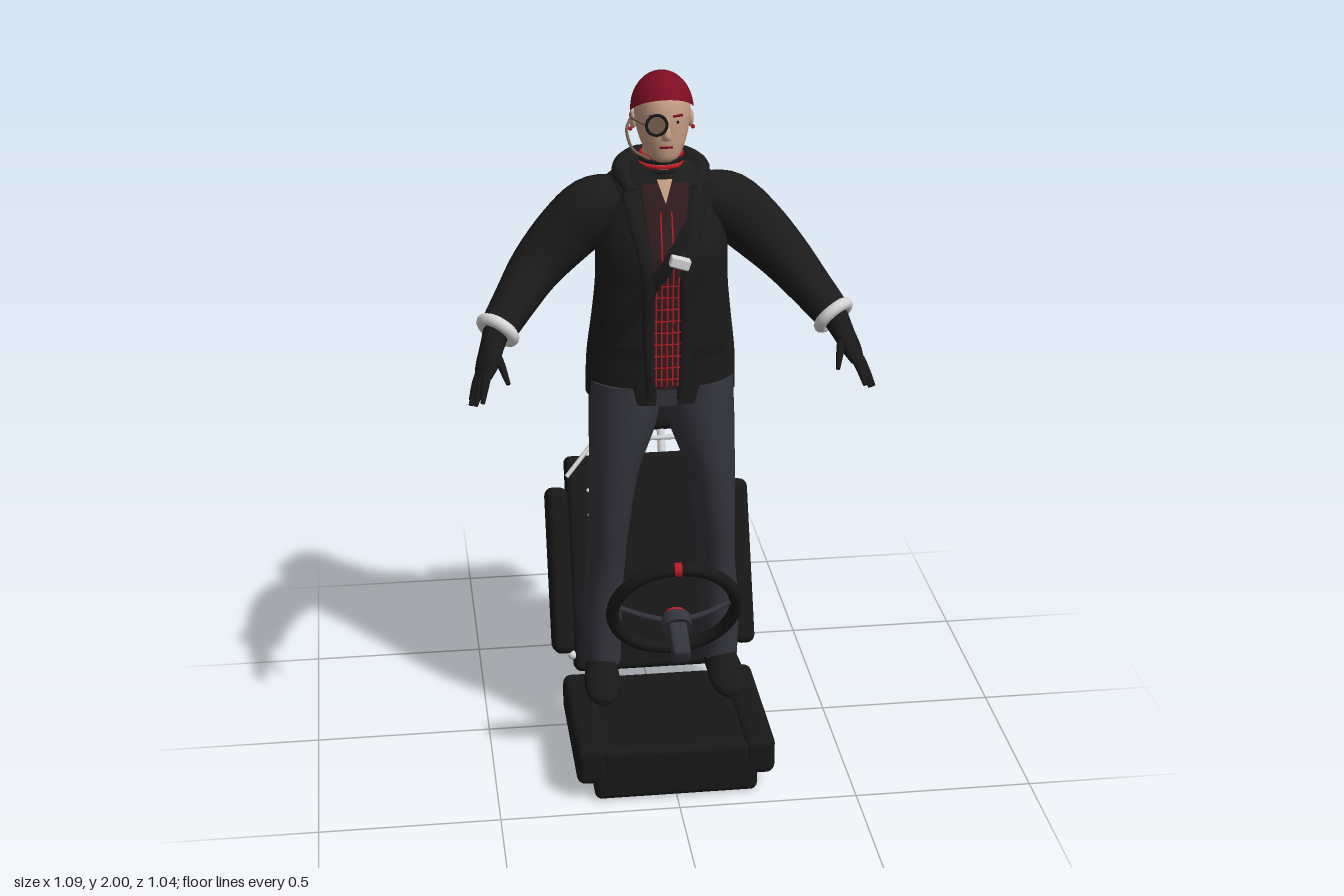
import * as THREE from 'three';
import { RoundedBoxGeometry } from 'three/addons/geometries/RoundedBoxGeometry.js';

const mat = (name, color) => { const m = new THREE.MeshStandardMaterial({ color }); m.name = name; return m; };
const V = (x, y, z) => new THREE.Vector3(x, y, z);

export function createModel() {
  const M = {
    coat: mat('coat black', 0x1b1b1b), leather: mat('leather black', 0x181818), cloth: mat('trouser grey', 0x33333c),
    skin: mat('skin', 0xc89f86), hair: mat('dark red hair', 0x7d0d24), red: mat('bright red', 0xb81a22),
    white: mat('white', 0xd6d6d6), shirt: mat('dark maroon', 0x301c1e), brass: mat('dull brass', 0x75604f),
  };
  const model = new THREE.Group();
  const add = (name, geo, m, pos = [0, 0, 0], rot = [0, 0, 0], parent = model) => {
    const mesh = new THREE.Mesh(geo, m);
    mesh.name = name; mesh.position.set(...pos); mesh.rotation.set(...rot);
    parent.add(mesh);
    return mesh;
  };
  const group = (name, pos, rx) => {
    const g = new THREE.Group();
    g.name = name; g.position.set(...pos); g.rotation.x = rx;
    model.add(g);
    return g;
  };
  const rbox = (w, h, d, r = 0.02) => new RoundedBoxGeometry(w, h, d, 3, r);
  const ball = (r) => new THREE.SphereGeometry(r, 16, 12);
  const tube = (pts, r, n = 24) => new THREE.TubeGeometry(new THREE.CatmullRomCurve3(pts.map(p => V(...p))), n, r, 8);

  // Smooth a list of cross-sections [x, y, z, radiusA, radiusB]
  const smooth = (rows, k = 4) => {
    const c = new THREE.CatmullRomCurve3(rows.map(r => V(r[0], r[1], r[2])), false, 'catmullrom');
    const q = new THREE.CatmullRomCurve3(rows.map(r => V(r[3], r[4], 0)), false, 'catmullrom');
    const n = (rows.length - 1) * k;
    return Array.from({ length: n + 1 }, (_, i) => {
      const p = c.getPoint(i / n), r = q.getPoint(i / n);
      return [p.x, p.y, p.z, r.x, r.y];
    });
  };
  // Loft through the sections: level rings, or rings across the path when ref is given
  const limb = (rows, ref = null, n = 24) => {
    const S = smooth(rows), pos = [], idx = [];
    const centre = S.map(r => V(r[0], r[1], r[2]));
    const ring = (i) => {
      const T = ref ? centre[Math.min(i + 1, S.length - 1)].clone().sub(centre[Math.max(i - 1, 0)]).normalize() : V(0, 1, 0);
      const a = ref ? ref.clone() : V(1, 0, 0);
      a.addScaledVector(T, -a.dot(T)).normalize();
      const b = a.clone().cross(T);
      for (let j = 0; j < n; j++) {
        const t = j / n * Math.PI * 2;
        const p = centre[i].clone().addScaledVector(a, Math.cos(t) * S[i][3]).addScaledVector(b, Math.sin(t) * S[i][4]);
        pos.push(p.x, p.y, p.z);
      }
    };
    S.forEach((_, i) => ring(i));
    for (let i = 0; i < S.length - 1; i++) for (let j = 0; j < n; j++) {
      const p = i * n + j, q = i * n + (j + 1) % n;
      idx.push(p, p + n, q, p + n, q + n, q);
    }
    for (const [i, top] of [[0, false], [S.length - 1, true]]) {
      const base = pos.length / 3;
      ring(i);
      pos.push(...centre[i].toArray());
      for (let j = 0; j < n; j++) {
        const p = base + j, q = base + (j + 1) % n;
        idx.push(base + n, top ? q : p, top ? p : q);
      }
    }
    const g = new THREE.BufferGeometry();
    g.setAttribute('position', new THREE.Float32BufferAttribute(pos, 3));
    g.setIndex(idx);
    g.computeVertexNormals();
    return g;
  };

  // Seat base
  add('seatBase', rbox(0.46, 0.11, 0.5), M.leather, [0, 0.055, 0.19]);
  add('seatCushion', rbox(0.42, 0.08, 0.45), M.leather, [0, 0.115, 0.215]);
  for (const s of [-1, 1]) add('seatBolster', rbox(0.09, 0.115, 0.46, 0.025), M.leather, [s * 0.235, 0.107, 0.21]);

  // Reclined backrest with headrest, bent rail and studs
  const back = group('backrest', [0, 0.41, -0.24], -0.408);
  add('backPanel', rbox(0.47, 0.64, 0.1), M.leather, [0, 0, 0], [0, 0, 0], back);
  add('headrest', rbox(0.28, 0.19, 0.09, 0.03), M.leather, [0, 0.483, -0.009], [0, 0, 0], back);
  for (const s of [-1, 1]) {
    add('backBolster', rbox(0.065, 0.49, 0.125, 0.025), M.leather, [s * 0.268, -0.015, 0.046], [0, 0, 0], back);
    add('headrestPost', new THREE.CylinderGeometry(0.012, 0.012, 0.12, 10), M.white, [s * 0.06, 0.36, 0], [0, 0, 0], back);
    add('hinge', ball(0.014), M.white, [s * 0.24, -0.27, 0.03], [0, 0, 0], back);
    for (let i = 0; i < 7; i++) add('stud', ball(0.006), M.white, [s * 0.172, -0.224 + i * 0.0735, 0.052], [0, 0, 0], back);
  }
  const rail = new THREE.CurvePath();
  const bends = [[-0.235, 0.26, 0.055], [-0.145, 0.363, 0.043], [0.145, 0.363, 0.043], [0.235, 0.26, 0.055]].map(p => V(...p));
  for (let i = 0; i < 3; i++) rail.add(new THREE.LineCurve3(bends[i], bends[i + 1]));
  add('backRail', new THREE.TubeGeometry(rail, 36, 0.007, 8), M.white, [0, 0, 0], [0, 0, 0], back);

  // Steering wheel
  const wheel = group('steeringWheel', [0, 0.555, 0.37], 0.433);
  add('wheelRim', new THREE.TorusGeometry(0.171, 0.018, 12, 48), M.leather, [0, 0, 0], [0, 0, 0], wheel);
  for (const [x, y] of [[-0.165, 0.025], [0.165, 0.025], [0, -0.165]])
    add('wheelSpoke', tube([[0, 0, 0.045], [x * 0.5, y * 0.5, 0.03], [x, y, 0]], 0.008), M.cloth, [0, 0, 0], [0, 0, 0], wheel);
  add('wheelHub', new THREE.CylinderGeometry(0.042, 0.042, 0.035, 24), M.cloth, [0, 0, 0.05], [Math.PI / 2, 0, 0], wheel);
  add('hornButton', new THREE.CylinderGeometry(0.03, 0.03, 0.02, 24), M.red, [0, 0, 0.026], [Math.PI / 2, 0, 0], wheel);
  add('steeringColumn', rbox(0.05, 0.055, 0.12, 0.012), M.cloth, [0, 0, 0.11], [0, 0, 0], wheel);
  add('rimMarker', new THREE.CylinderGeometry(0.0195, 0.0195, 0.02, 12), M.red, [0, 0.171, 0], [0, 0, Math.PI / 2], wheel);

  // Coat body
  const torso = [[0, 1.09, 0.063, 0.208, 0.137], [0, 1.2, 0.068, 0.206, 0.138], [0, 1.32, 0.08, 0.192, 0.13], [0, 1.42, 0.085, 0.182, 0.13],
    [0, 1.52, 0.088, 0.18, 0.135], [0, 1.62, 0.07, 0.178, 0.118], [0, 1.69, 0.06, 0.16, 0.1], [0, 1.73, 0.06, 0.11, 0.08], [0, 1.75, 0.065, 0.075, 0.065]];
  add('coatBody', limb(torso, null, 40), M.coat);
  const S = smooth(torso);
  const onCoat = (x, y, off, side = 1) => {
    let i = 0;
    while (i < S.length - 2 && S[i + 1][1] < y) i++;
    const t = (y - S[i][1]) / (S[i + 1][1] - S[i][1]);
    const at = (k) => S[i][k] + (S[i + 1][k] - S[i][k]) * t;
    const u = Math.min(1, Math.abs(x / at(3)));
    return [x, y, at(2) + side * (at(4) * Math.sqrt(1 - u * u) + off)];
  };
  // Thin sheet lying on the coat between two edges x = l(y) and x = r(y)
  const panel = (name, l, r, y0, y1, off, m, side = 1) => {
    const g = new THREE.PlaneGeometry(1, 1, 6, 24), p = g.attributes.position;
    for (let i = 0; i < p.count; i++) {
      const y = y0 + (y1 - y0) * (p.getY(i) + 0.5), u = side * p.getX(i) + 0.5;
      p.setXYZ(i, ...onCoat(l(y) + (r(y) - l(y)) * u, y, off, side));
    }
    g.computeVertexNormals();
    add(name, g, m);
  };
  const half = (y) => 0.04 + Math.max(0, y - 1.5) * 0.1;
  panel('shirt', y => -half(y), y => half(y) + 0.004, 1.14, 1.71, 0.004, M.shirt);
  panel('throat', y => -(y - 1.66) * 0.35, y => (y - 1.66) * 0.35, 1.66, 1.72, 0.007, M.skin);
  panel('hemGap', () => -0.03, () => 0.03, 1.091, 1.14, 0.003, M.cloth);
  for (let i = -2; i <= 2; i++) panel('shirtStripe', () => i * 0.015 - 0.002, () => i * 0.015 + 0.002, 1.15, i % 2 ? 1.64 : 1.47, 0.006, M.red);
  for (let i = 0; i < 9; i++) panel('shirtCheck', () => -0.036, () => 0.038, 1.17 + i * 0.034, 1.174 + i * 0.034, 0.006, M.red);
  const strap = (y) => -0.17 + (y - 1.25) * 0.66;
  for (const side of [1, -1]) panel('shoulderStrap', y => strap(y) - 0.022, y => strap(y) + 0.022, 1.25, 1.7, 0.01, M.leather, side);
  add('strapBuckle', rbox(0.055, 0.03, 0.03, 0.005), M.white, [0.03, 1.515, 0.238], [0, 0, -0.3]);
  for (const s of [-1, 1]) {
    const edge = [[0.04, 1.11], [0.05, 1.3], [0.052, 1.48], [0.075, 1.6], [0.09, 1.69]].map(([x, y], i) => [...onCoat(s * x, y, 0.002), 0.014 + i * 0.003, 0.009]);
    add('lapel', limb(edge, V(1, 0, 0), 12), M.coat);
    panel('pocketFlap', () => s * 0.12 - 0.05, () => s * 0.12 + 0.05, 1.225, 1.26, 0.009, M.leather);
  }
  // Folded hood around the neck
  add('hood', limb([[-0.085, 1.68, 0.14, 0.02, 0.02], [-0.105, 1.725, 0.07, 0.028, 0.028], [-0.06, 1.735, -0.005, 0.032, 0.035], [0, 1.735, -0.015, 0.032, 0.038],
    [0.06, 1.735, -0.005, 0.032, 0.035], [0.105, 1.725, 0.07, 0.028, 0.028], [0.085, 1.68, 0.14, 0.02, 0.02]], V(0, 1, 0), 14), M.coat);

  for (const s of [-1, 1]) {
    // Trouser leg and shoe
    add('trouserLeg', limb([[s * 0.17, 0.255, 0.073, 0.054, 0.063], [s * 0.17, 0.4, 0.07, 0.058, 0.066], [s * 0.16, 0.55, 0.076, 0.055, 0.07],
      [s * 0.15, 0.7, 0.098, 0.058, 0.078], [s * 0.135, 0.87, 0.105, 0.07, 0.089], [s * 0.108, 1.02, 0.092, 0.096, 0.104], [s * 0.1, 1.14, 0.08, 0.1, 0.11]]), M.cloth);
    add('shoe', limb([[s * 0.172, 0.235, 0.005, 0.028, 0.03], [s * 0.173, 0.243, 0.03, 0.043, 0.046], [s * 0.176, 0.242, 0.1, 0.046, 0.046],
      [s * 0.18, 0.226, 0.17, 0.052, 0.032], [s * 0.183, 0.216, 0.23, 0.042, 0.023], [s * 0.185, 0.212, 0.262, 0.014, 0.012]], V(1, 0, 0)), M.leather);
    add('shoeHeel', rbox(0.075, 0.025, 0.07, 0.01), M.leather, [s * 0.173, 0.203, 0.045]);

    // Sleeve, fur cuff and gloved hand
    add('sleeve', limb([[s * 0.1, 1.655, 0.065, 0.075, 0.06], [s * 0.18, 1.62, 0.065, 0.085, 0.088], [s * 0.26, 1.55, 0.066, 0.08, 0.085],
      [s * 0.34, 1.468, 0.088, 0.074, 0.072], [s * 0.4, 1.4, 0.145, 0.064, 0.06], [s * 0.46, 1.33, 0.21, 0.05, 0.05]], V(0, 0, 1)), M.coat);
    const cuff = add('cuff', new THREE.TorusGeometry(0.047, 0.017, 10, 28), M.white, [s * 0.455, 1.335, 0.205]);
    cuff.quaternion.setFromUnitVectors(V(0, 0, 1), V(s * 0.55, -0.6, 0.58).normalize());
    add('glovePalm', limb([[s * 0.46, 1.33, 0.21, 0.036, 0.036], [s * 0.475, 1.3, 0.245, 0.036, 0.03], [s * 0.49, 1.268, 0.285, 0.043, 0.024],
      [s * 0.503, 1.24, 0.312, 0.034, 0.015]], V(-s * 0.5, 0.3, 0.8), 14), M.leather);
    for (const [kx, ky, kz, tx, ty, tz] of [[0.508, 1.25, 0.285, 0.538, 1.185, 0.325], [0.507, 1.245, 0.3, 0.54, 1.182, 0.352],
      [0.503, 1.247, 0.314, 0.528, 1.187, 0.37], [0.495, 1.252, 0.325, 0.51, 1.2, 0.386], [0.47, 1.3, 0.265, 0.44, 1.24, 0.36]])
      add('gloveFinger', limb([[s * kx, ky, kz, 0.013, 0.013], [s * (kx + tx) / 2, (ky + ty) / 2 + 0.006, (kz + tz) / 2, 0.011, 0.011],
        [s * tx, ty, tz, 0.006, 0.006]], V(0, 0.6, 0.8), 8), M.leather);
  }

  // Neck, collars and head
  add('neck', limb([[0, 1.69, 0.075, 0.06, 0.058], [0, 1.76, 0.085, 0.052, 0.052], [0, 1.83, 0.09, 0.052, 0.054]]), M.skin);
  [1.735, 1.748, 1.761, 1.774].forEach((y, i) => {
    add('choker', new THREE.TorusGeometry(0.055, 0.006, 8, 32), i % 2 ? M.red : M.leather, [0, y, 0.082], [Math.PI / 2, 0, 0]);
  });
  add('head', limb([[0, 1.772, 0.15, 0.022, 0.022], [0, 1.785, 0.138, 0.042, 0.045], [0, 1.82, 0.117, 0.06, 0.072], [0, 1.86, 0.102, 0.071, 0.09],
    [0, 1.9, 0.1, 0.075, 0.093], [0, 1.94, 0.095, 0.072, 0.088], [0, 1.97, 0.095, 0.055, 0.062], [0, 1.99, 0.095, 0.022, 0.025]], null, 32), M.skin);
  add('nose', limb([[0, 1.84, 0.19, 0.014, 0.018], [0, 1.856, 0.19, 0.012, 0.025], [0, 1.9, 0.186, 0.006, 0.01]], null, 12), M.skin);
  add('mouth', rbox(0.035, 0.006, 0.008, 0.002), M.hair, [0, 1.818, 0.187]);
  add('eyeWhite', ball(0.009), M.white, [0.03, 1.885, 0.176]);
  add('eyePupil', ball(0.005), M.leather, [0.03, 1.885, 0.183]);
  for (const s of [-1, 1]) {
    add('brow', rbox(0.03, 0.006, 0.01, 0.002), M.hair, [s * 0.03, 1.902, 0.183], [0, s * 0.35, 0]);
    add('ear', ball(0.02), M.skin, [s * 0.076, 1.87, 0.09]).scale.set(0.5, 1.2, 0.8);
    add('earring', ball(0.006), M.red, [s * 0.084, 1.845, 0.09]);
  }
  // Eyepiece and mouthpiece wire
  add('eyepiece', new THREE.CylinderGeometry(0.027, 0.027, 0.012, 24), M.brass, [-0.028, 1.885, 0.203], [Math.PI / 2, 0, 0]);
  add('eyepieceRim', new THREE.TorusGeometry(0.027, 0.004, 8, 24), M.leather, [-0.028, 1.885, 0.209]);
  add('eyepieceArm', tube([[-0.082, 1.885, 0.085], [-0.085, 1.888, 0.14], [-0.055, 1.885, 0.2]], 0.004), M.brass);
  add('headsetWire', tube([[-0.085, 1.87, 0.09], [-0.098, 1.85, 0.13], [-0.085, 1.81, 0.17], [-0.045, 1.79, 0.195]], 0.004), M.brass);

  // Hair cap and ponytail
  add('hair', new THREE.SphereGeometry(0.101, 36, 20, 0, Math.PI * 2, 0, 1.62), M.hair, [0, 1.899, 0.095], [-0.52, 0, 0]).scale.x = 0.83;
  add('hairTie', new THREE.TorusGeometry(0.018, 0.009, 8, 20), M.leather, [0, 1.93, -0.008], [0.4, 0, 0]);
  const tail = (x, w, y) => limb([[x, y, -0.068, 0.006, 0.006], [x, 1.74, -0.055, w * 0.8, 0.02], [x, 1.83, -0.043, w, 0.026],
    [x, 1.9, -0.032, w * 0.9, 0.022], [x, 1.94, -0.012, 0.014, 0.014], [x, 1.93, 0.01, 0.012, 0.012]].slice(0, 5), null, 16);
  add('ponytail', tail(0, 0.03, 1.665), M.red);
  for (const s of [-1, 1]) add('ponytailStrand', tail(s * 0.017, 0.017, 1.69), M.hair);
  return model;
}
